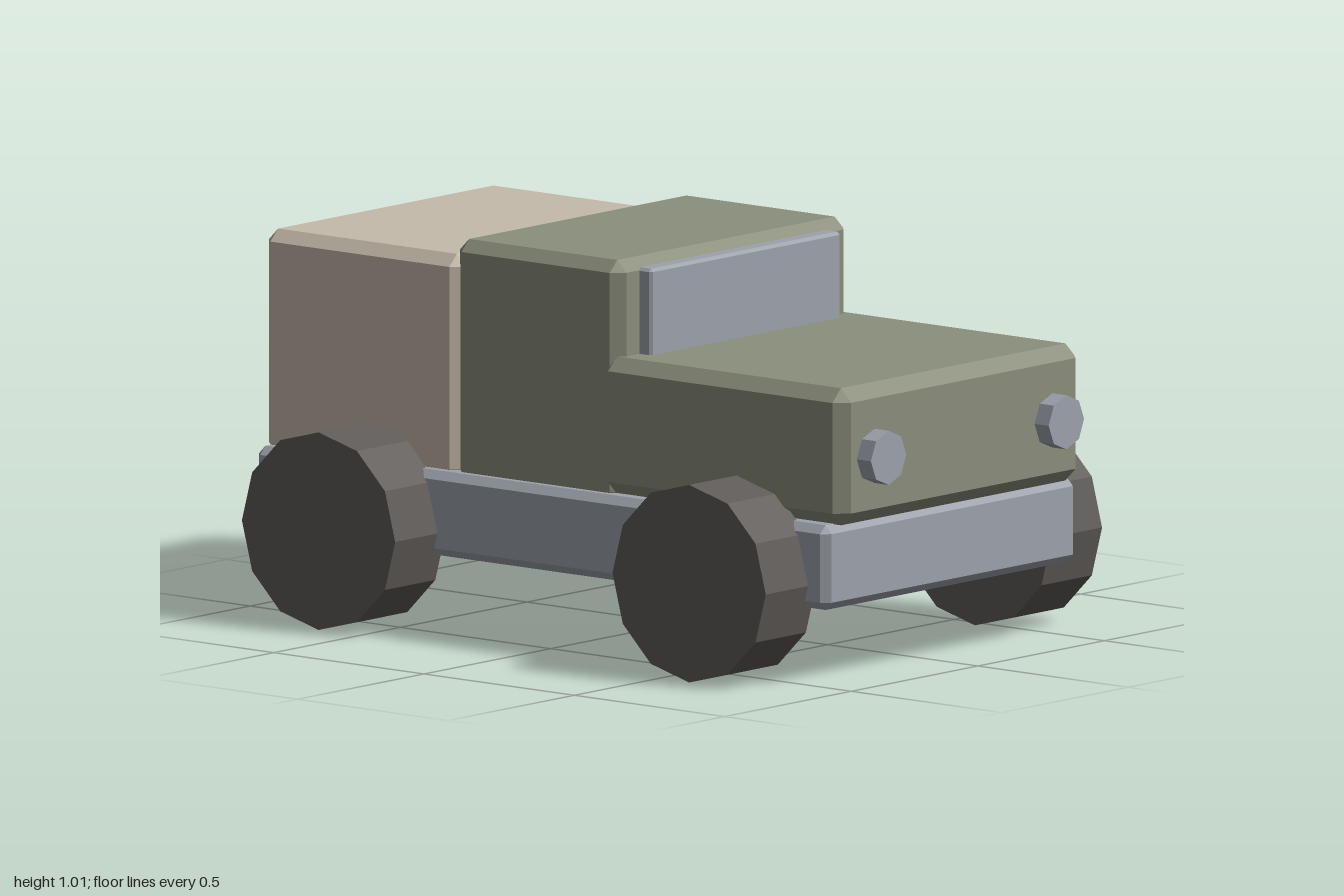
import * as THREE from 'three';
import { ConvexGeometry } from 'three/addons/geometries/ConvexGeometry.js';

const flat = (name, color) => {
  const m = new THREE.MeshStandardMaterial({ color });
  m.name = name;
  m.flatShading = true;
  return m;
};

// Box with every edge chamfered by c, given its extents in x and y and its half depth in z
function chamferBox(x0, x1, y0, y1, halfZ, c) {
  const h = [(x1 - x0) / 2, (y1 - y0) / 2, halfZ];
  const points = [];
  for (const sx of [-1, 1]) for (const sy of [-1, 1]) for (const sz of [-1, 1])
    for (let axis = 0; axis < 3; axis++) {
      const p = h.map((v, i) => (i === axis ? v : v - c));
      points.push(new THREE.Vector3(p[0] * sx, p[1] * sy, p[2] * sz));
    }
  return new ConvexGeometry(points).translate((x0 + x1) / 2, (y0 + y1) / 2, 0);
}

export function createModel() {
  const olive = flat('olive paint', 0x8b8f7c);
  const canvas = flat('tan canvas', 0xc5bbaa);
  const steel = flat('grey steel', 0x9da2ab);
  const rubber = flat('dark rubber', 0x605c59);

  const model = new THREE.Group();
  model.name = 'truck';
  const add = (name, geometry, material) => {
    const mesh = new THREE.Mesh(geometry, material);
    mesh.name = name;
    model.add(mesh);
    return mesh;
  };

  // Body
  add('chassis', chamferBox(-0.99, 0.915, 0.195, 0.414, 0.497, 0.021), steel);
  add('cargoBox', chamferBox(-1, -0.345, 0.385, 0.968, 0.455, 0.03), canvas);
  add('cab', chamferBox(-0.361, 0.192, 0.385, 1.012, 0.459, 0.03), olive);
  add('hood', chamferBox(0.138, 0.952, 0.412, 0.766, 0.477, 0.034), olive);
  add('windscreen', chamferBox(0.17, 0.23, 0.66, 0.988, 0.376, 0.008), steel);

  // Wheels and headlamps, mirrored to both sides
  const wheel = new THREE.CylinderGeometry(0.255, 0.255, 0.199, 12).rotateX(Math.PI / 2);
  const lamp = new THREE.CylinderGeometry(0.07, 0.07, 0.08, 8).rotateZ(Math.PI / 2);
  for (const [side, s] of [['left', 1], ['right', -1]]) {
    add(side + 'RearWheel', wheel, rubber).position.set(-0.634, 0.255, s * 0.5645);
    add(side + 'FrontWheel', wheel, rubber).position.set(0.599, 0.255, s * 0.5645);
    add(side + 'Headlamp', lamp, steel).position.set(0.959, 0.583, s * 0.351);
  }
  return model;
}
